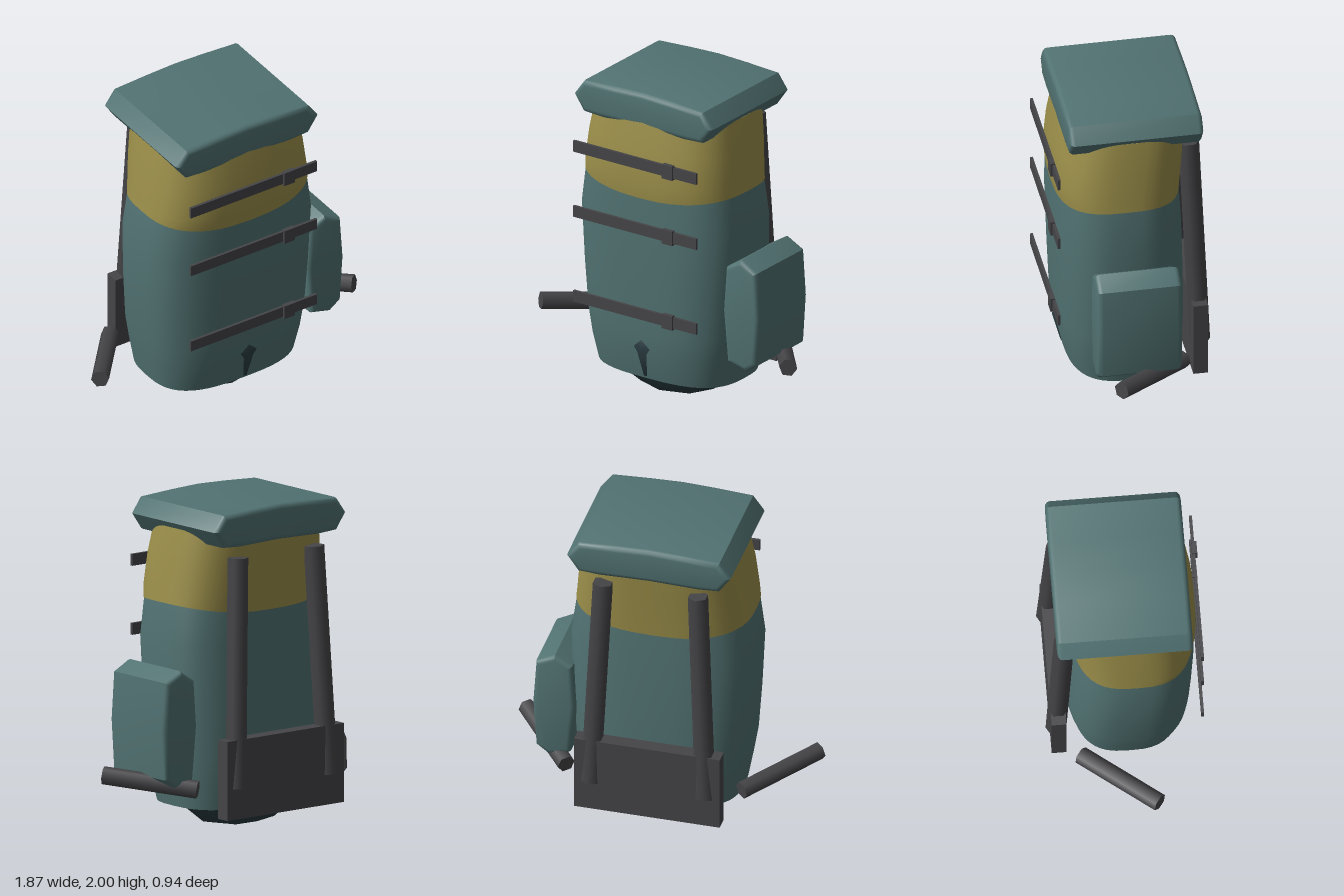
import * as THREE from 'three';
import { toCreasedNormals } from 'three/addons/utils/BufferGeometryUtils.js';

const paint = (color) => new THREE.MeshStandardMaterial({ color });
const teal = paint(0x527272), ochre = paint(0x9c8f4a), dark = paint(0x454548), baseColor = paint(0x2a3c42);

function add(group, name, geometry, material) {
  const mesh = new THREE.Mesh(geometry, material);
  mesh.name = name;
  group.add(mesh);
  return mesh;
}

// Closed loft of rounded-rectangle rings [y, halfWidth, frontZ, backZ];
// sideLift raises the lowest ring towards the sides.
function loft(rings, sideLift = 0) {
  const N = 48, e = 2 / 2.9, pos = [], idx = [];
  const power = (v) => Math.sign(v) * Math.abs(v) ** e;
  rings.forEach(([y, hx, zf, zb], r) => {
    for (let i = 0; i < N; i++) {
      const t = (i / N) * Math.PI * 2;
      const c = power(Math.cos(t)), s = power(Math.sin(t));
      const lift = r === 0 ? sideLift * c * c : 0;
      pos.push(hx * c, y + lift, (zf + zb) / 2 + ((zf - zb) / 2) * s);
    }
  });
  const last = (rings.length - 1) * N, bottom = rings.length * N, top = bottom + 1;
  for (const [y, , zf, zb] of [rings[0], rings[rings.length - 1]]) pos.push(0, y, (zf + zb) / 2);
  for (let i = 0; i < N; i++) {
    const j = (i + 1) % N;
    for (let r = 0; r < last; r += N) {
      idx.push(r + i, r + N + i, r + j, r + j, r + N + i, r + N + j);
    }
    idx.push(bottom, i, j, top, last + j, last + i);
  }
  const geo = new THREE.BufferGeometry();
  geo.setAttribute('position', new THREE.Float32BufferAttribute(pos, 3));
  geo.setIndex(idx);
  return toCreasedNormals(geo, 0.7);
}

// Padded block: a front outline extruded from z0 to z1 with rounded rims
function padded(points, z0, z1) {
  const b = 0.03;
  const shape = new THREE.Shape(points.map(([x, y]) => new THREE.Vector2(x, y)));
  const geo = new THREE.ExtrudeGeometry(shape, {
    depth: z1 - z0 - 2 * b, bevelThickness: b, bevelSize: b, bevelOffset: -b, bevelSegments: 3,
  });
  geo.translate(0, 0, z0 + b);
  return toCreasedNormals(geo, 0.65);
}

// Six-sided rod between two points
function rod(a, b, radius) {
  const p = new THREE.Vector3(...a), q = new THREE.Vector3(...b);
  const dir = q.clone().sub(p);
  const geo = new THREE.CylinderGeometry(radius, radius, dir.length(), 6);
  geo.applyQuaternion(new THREE.Quaternion().setFromUnitVectors(new THREE.Vector3(0, 1, 0), dir.normalize()));
  const mid = p.add(q).multiplyScalar(0.5);
  return geo.translate(mid.x, mid.y, mid.z);
}

function block(x0, x1, y0, y1, z0, z1) {
  return new THREE.BoxGeometry(x1 - x0, y1 - y0, z1 - z0)
    .translate((x0 + x1) / 2, (y0 + y1) / 2, (z0 + z1) / 2);
}

export function createModel() {
  const pack = new THREE.Group();
  pack.name = 'backpack';

  // Main bag and the upper collar that wraps it
  add(pack, 'mainBag', loft([
    [0.18, 0.475, 0.35, -0.315], [0.35, 0.505, 0.39, -0.34], [0.5, 0.53, 0.4, -0.345],
    [0.8, 0.55, 0.412, -0.34], [1.17, 0.565, 0.423, -0.328], [1.42, 0.53, 0.418, -0.312],
  ]), teal);
  add(pack, 'upperCollar', loft([
    [1.35, 0.537, 0.422, -0.316], [1.46, 0.53, 0.434, -0.325],
    [1.65, 0.51, 0.418, -0.345], [1.85, 0.478, 0.385, -0.365],
  ], 0.055), ochre);

  // Rounded base, just breaking through the bag at the front
  const base = add(pack, 'base', new THREE.SphereGeometry(1, 8, 6), baseColor);
  base.scale.set(0.5, 0.38, 0.395);
  base.position.set(0, 0.385, 0.015);

  // Lid
  add(pack, 'lid', padded([
    [0, 1.785], [0.3, 1.777], [0.43, 1.785], [0.5, 1.885], [0.43, 1.98], [0.2, 1.993],
    [0, 2], [-0.2, 1.993], [-0.43, 1.98], [-0.5, 1.885], [-0.43, 1.785], [-0.3, 1.777],
  ], -0.41, 0.39), teal);

  // Side pocket on the left
  add(pack, 'sidePocket', padded([
    [0.66, 0.345], [0.735, 0.4], [0.755, 0.7], [0.735, 0.985], [0.62, 1.045],
    [0.515, 0.98], [0.495, 0.7], [0.525, 0.38],
  ], -0.235, 0.27), teal);

  // Front compression straps with buckles
  for (const y of [0.63, 1.17, 1.585]) {
    add(pack, 'frontStrap', block(-0.45, 0.44, y - 0.035, y + 0.035, 0.44, 0.457), dark);
    add(pack, 'buckle', block(0.2, 0.275, y - 0.045, y + 0.045, 0.442, 0.47), dark);
  }

  // Back panel, shoulder straps and hip belt arms
  add(pack, 'backPanel', block(-0.447, 0.443, 0.155, 0.63, -0.443, -0.355), dark);
  for (const s of [1, -1]) {
    add(pack, 'shoulderStrap', rod([s * 0.35, 0.335, -0.41], [s * 0.29, 1.705, -0.355], 0.062), dark);
    add(pack, 'hipArm', rod([s * 0.535, 0.33, -0.28], [s * 0.895, 0.395, 0.16], 0.054), dark);
  }
  return pack;
}
